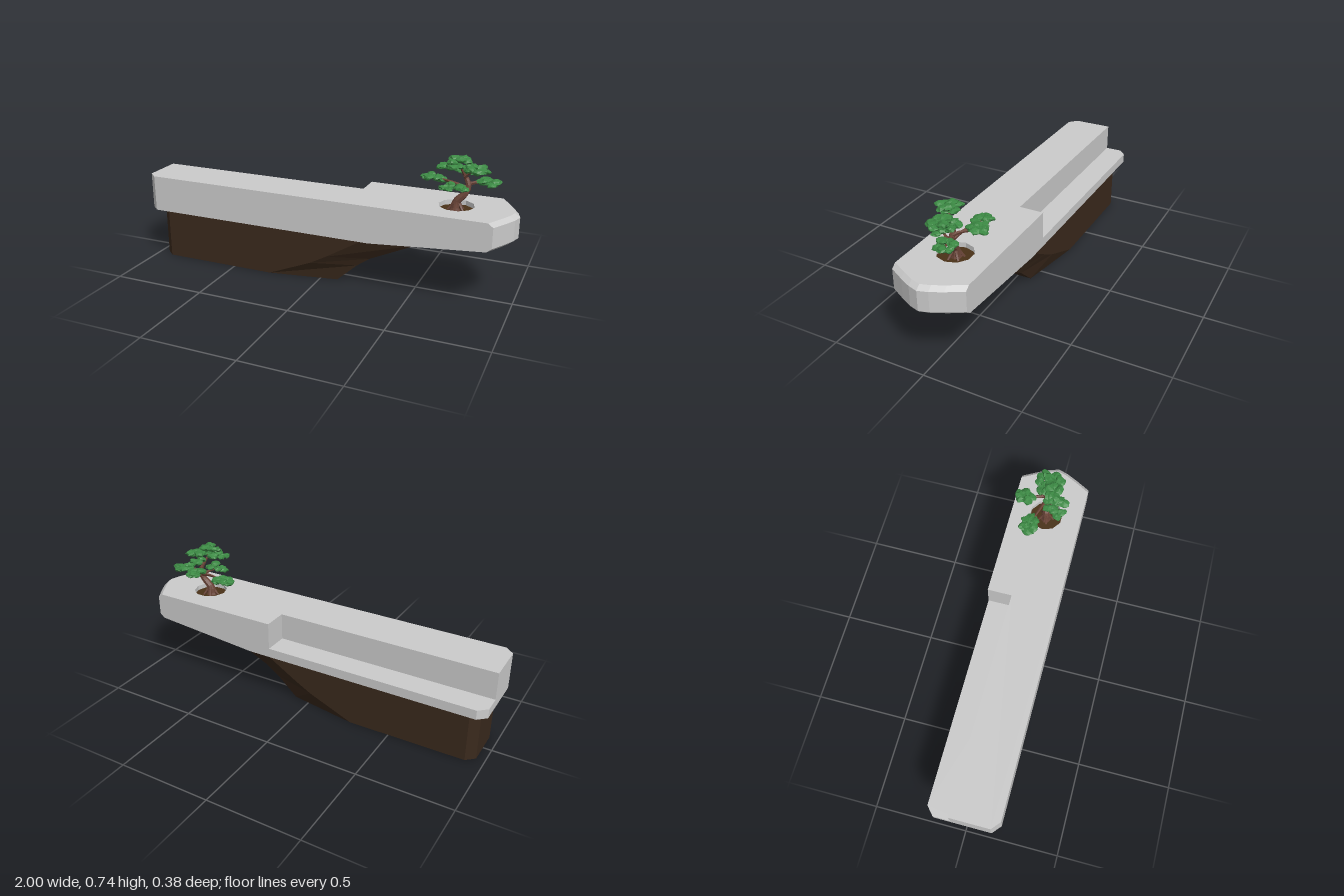
import * as THREE from 'three';

const mat = (color, flat = true) =>
  new THREE.MeshStandardMaterial({ color, flatShading: flat, side: THREE.DoubleSide });
const stone = mat(0xcccccc), earth = mat(0x3a291c), soilMat = mat(0x4a3218);
const bark = mat(0x6b4538), leaf = mat(0x3c8a44);

function mesh(name, geometry, material) {
  const m = new THREE.Mesh(geometry, material);
  m.name = name;
  return m;
}

// Stack of plan outlines [x, -z] (counter-clockwise from above), one per height
function loft(levels, hole = []) {
  const pos = [];
  const put = ([x, v], y) => pos.push(x, y, -v);
  for (let k = 0; k + 1 < levels.length; k++) {
    const a = levels[k], b = levels[k + 1], n = a.pts.length;
    for (let i = 0; i < n; i++) {
      const j = (i + 1) % n;
      put(a.pts[i], a.y); put(a.pts[j], a.y); put(b.pts[j], b.y);
      put(a.pts[i], a.y); put(b.pts[j], b.y); put(b.pts[i], b.y);
    }
  }
  const cap = ({ pts, y }, holes, up) => {
    const vec = (l) => l.map(([x, v]) => new THREE.Vector2(x, v));
    const all = pts.concat(...holes);
    for (const t of THREE.ShapeUtils.triangulateShape(vec(pts), holes.map(vec)))
      (up ? t : [...t].reverse()).forEach((i) => put(all[i], y));
  };
  cap(levels[0], [], false);
  cap(levels[levels.length - 1], hole.length ? [hole] : [], true);
  const g = new THREE.BufferGeometry();
  g.setAttribute('position', new THREE.Float32BufferAttribute(pos, 3));
  g.computeVertexNormals();
  return g;
}

// Tapered limb along a smooth path
function limb(name, points, r0, r1, sides = 6) {
  const curve = new THREE.CatmullRomCurve3(points.map((p) => new THREE.Vector3(...p)));
  const segs = points.length * 2;
  const g = new THREE.TubeGeometry(curve, segs, 1, sides);
  const p = g.attributes.position, v = new THREE.Vector3();
  for (let i = 0; i < p.count; i++) {
    const t = Math.floor(i / (sides + 1)) / segs;
    const c = curve.getPointAt(t);
    v.fromBufferAttribute(p, i).sub(c).multiplyScalar(r0 + (r1 - r0) * Math.sqrt(t)).add(c);
    p.setXYZ(i, v.x, v.y, v.z);
  }
  g.computeVertexNormals();
  return mesh(name, g, bark);
}

let seed = 7;
const rand = () => (seed = (seed * 16807) % 2147483647) / 2147483647;

// Flattened, ragged leaf clump
function leafClump(x, y, z, r) {
  const g = new THREE.IcosahedronGeometry(1, 1);
  const p = g.attributes.position, offsets = {};
  for (let i = 0; i < p.count; i++) {
    const key = [p.getX(i), p.getY(i), p.getZ(i)].map((c) => c.toFixed(2)).join();
    const s = (offsets[key] ??= 0.72 + 0.5 * rand());
    p.setXYZ(i, p.getX(i) * s, p.getY(i) * s, p.getZ(i) * s);
  }
  g.scale(r, r * 0.45, r * 0.85);
  g.rotateY(rand() * 6);
  g.rotateX((rand() - 0.5) * 0.4);
  g.computeVertexNormals();
  const m = mesh('leafClump', g, leaf);
  m.position.set(x, y, z);
  return m;
}

function createTree() {
  const tree = new THREE.Group();
  tree.name = 'bonsaiTree';
  tree.add(limb('trunk', [[0.685, 0.45, 0], [0.69, 0.5, 0], [0.725, 0.54, -0.005],
    [0.74, 0.58, -0.015], [0.725, 0.62, -0.02]], 0.031, 0.012, 7));
  // Roots
  for (let i = 0; i < 5; i++) {
    const a = i * 1.257 + 0.4, c = Math.cos(a), s = Math.sin(a);
    tree.add(limb('root', [[0.69 + c * 0.01, 0.5, s * 0.01],
      [0.69 + c * 0.025, 0.475, s * 0.025], [0.69 + c * 0.042, 0.455, s * 0.042]], 0.012, 0.006, 5));
  }
  // Branches
  [
    [[0.73, 0.61, -0.02], [0.715, 0.645, -0.005], [0.7, 0.69, 0.02]],
    [[0.735, 0.57, -0.012], [0.66, 0.585, -0.03], [0.56, 0.59, -0.06]],
    [[0.735, 0.59, -0.015], [0.78, 0.6, -0.03], [0.83, 0.6, -0.045]],
    [[0.735, 0.6, -0.02], [0.71, 0.615, -0.06], [0.69, 0.625, -0.12]],
    [[0.735, 0.56, -0.01], [0.72, 0.575, 0.03], [0.7, 0.58, 0.06]],
    [[0.72, 0.63, -0.01], [0.75, 0.655, 0], [0.78, 0.67, 0.01]],
  ].forEach((path) => tree.add(limb('branch', path, 0.012, 0.005, 5)));
  // Foliage pads: centre, half-spread in x and z, number of clumps
  [
    [0.555, 0.595, -0.062, 0.04, 0.025, 6],
    [0.83, 0.603, -0.045, 0.035, 0.03, 6],
    [0.685, 0.628, -0.12, 0.018, 0.032, 5],
    [0.69, 0.588, 0.065, 0.05, 0.025, 6],
    [0.7, 0.718, 0.03, 0.035, 0.025, 5],
    [0.655, 0.69, 0.035, 0.045, 0.025, 5],
    [0.785, 0.675, 0.015, 0.04, 0.03, 5],
    [0.74, 0.655, -0.03, 0.025, 0.015, 3],
  ].forEach(([x, y, z, sx, sz, n]) => {
    for (let i = 0; i < n; i++) {
      const a = (i / n) * Math.PI * 2;
      tree.add(leafClump(x + Math.cos(a) * sx, y + (rand() - 0.5) * 0.022,
        z + Math.sin(a) * sz, 0.026 + 0.008 * rand()));
    }
  });
  return tree;
}

export function createModel() {
  const model = new THREE.Group();
  model.name = 'stoneLedgeWithTree';

  // Earth support, tapering to a narrow keel under the overhang
  const support = [[0, -0.28, 0.09], [0.1, -0.04, 0.2], [0.15, 0.05, 0.27],
    [0.265, 0.24, 0.515], [0.303, 0.28, 0.52]].map(([y, s, t]) => ({
    y, pts: [[-0.955, -0.1], [-0.91, -0.14], [s, -0.14], [t, -0.075],
      [t, 0.075], [s, 0.14], [-0.91, 0.14], [-0.955, 0.1]],
  }));
  model.add(mesh('earthSupport', loft(support), earth));

  // Lower slab and the wedge thinning towards the nose
  const low = [[-1, -0.15], [-0.955, -0.19], [0.3, -0.19], [0.3, 0.19], [-0.955, 0.19], [-1, 0.15]];
  model.add(mesh('lowerSlab', loft([{ y: 0.285, pts: low }, { y: 0.335, pts: low }]), stone));
  const side = new THREE.Shape([[0.3, 0.285], [0.885, 0.335], [0.3, 0.335]]
    .map((p) => new THREE.Vector2(...p)));
  const wedge = new THREE.ExtrudeGeometry(side, { depth: 0.38, bevelEnabled: false });
  wedge.translate(0, 0, -0.19);
  model.add(mesh('slabWedge', wedge, stone));

  // Upper slab with rear notch, bevelled rounded nose and planting hole
  const half = [[0.91, 0.19], [0.955, 0.11], [0.985, 0.05]];
  const nose = [...half.map(([x, v]) => [x, -v]), [1, 0], ...[...half].reverse()];
  const outline = (d) => [[-1, 0.06], [-1, -0.15], [-0.955, -0.19],
    ...nose.map(([x, v]) => [x - d, v]), [0.18, 0.19], [0.18, 0.06]];
  const hole = [...Array(10)].map((_, i) => {
    const a = -i * Math.PI / 5;
    return [0.69 + 0.09 * Math.cos(a), 0.09 * Math.sin(a)];
  });
  model.add(mesh('upperSlab', loft([
    { y: 0.335, pts: outline(0.025) }, { y: 0.355, pts: outline(0) },
    { y: 0.46, pts: outline(0) }, { y: 0.48, pts: outline(0.025) },
  ], hole), stone));

  // Planting hole wall and soil
  const wall = new THREE.CylinderGeometry(0.09, 0.09, 0.03, 10, 1, true);
  wall.rotateY(Math.PI / 2).translate(0.69, 0.465, 0);
  model.add(mesh('holeWall', wall, stone));
  const soil = new THREE.CircleGeometry(0.09, 10);
  soil.rotateX(-Math.PI / 2).translate(0.69, 0.455, 0);
  model.add(mesh('soil', soil, soilMat));

  model.add(createTree());
  return model;
}
